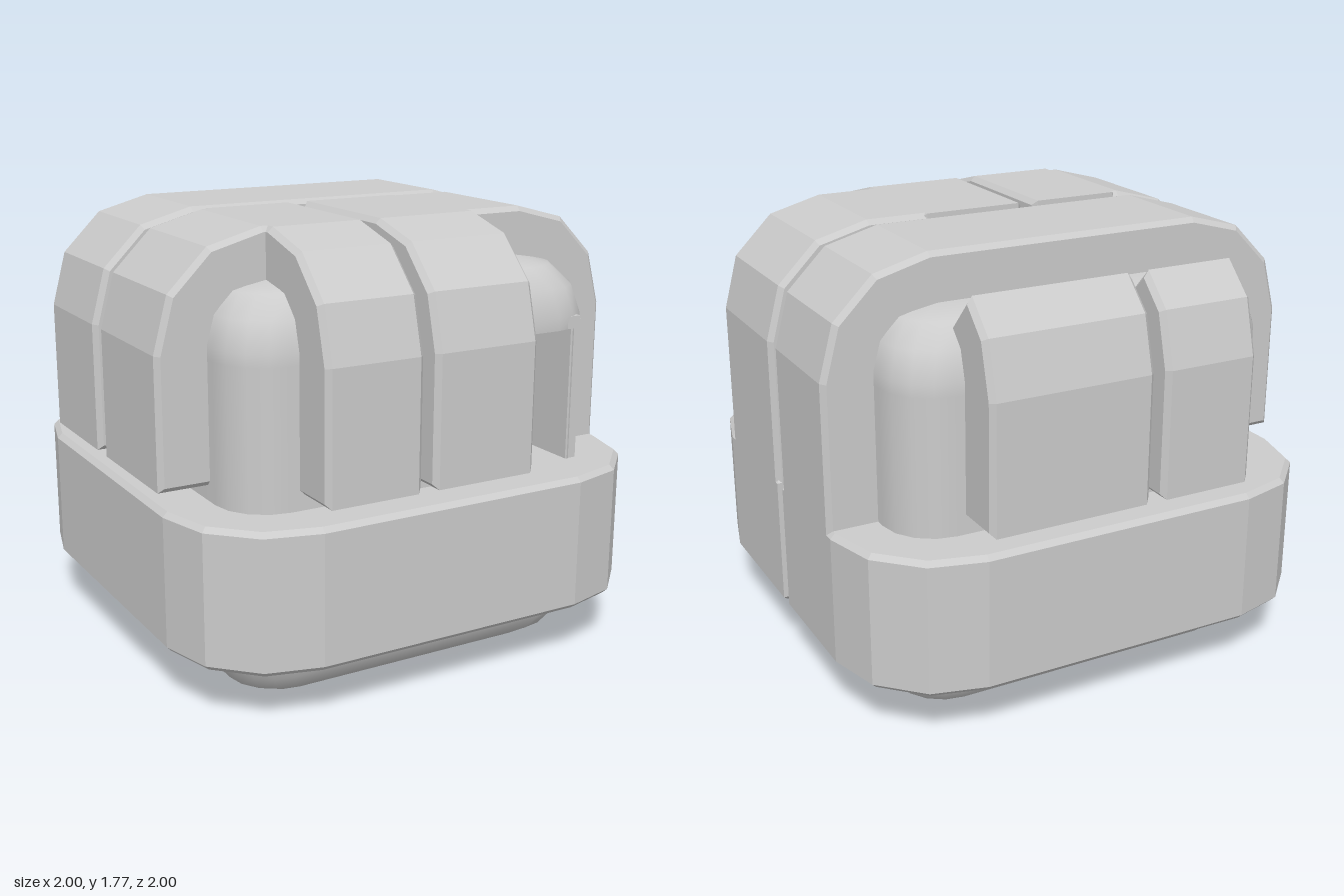
import * as THREE from 'three';
import { toCreasedNormals } from 'three/addons/utils/BufferGeometryUtils.js';

const grey = new THREE.MeshStandardMaterial({ color: 0xcccccc });
const greyThin = new THREE.MeshStandardMaterial({ color: 0xcccccc, side: THREE.DoubleSide });
const TOP = 1.77, IN = 0.5, R = 0.43, BEVEL = 0.02;

// bevelled slab from a 2D outline, running from depth 0 to depth
function slab(points, depth) {
  const shape = new THREE.Shape(points.map(([x, y]) => new THREE.Vector2(x, y)));
  const g = new THREE.ExtrudeGeometry(shape, {
    depth: depth - 2 * BEVEL, bevelEnabled: true, bevelSegments: 1,
    bevelSize: BEVEL, bevelThickness: BEVEL, bevelOffset: -BEVEL,
  });
  return g.translate(0, 0, BEVEL);
}

// quarter-round corner points
function corner(cx, cy, r, start, segments) {
  return Array.from({ length: segments + 1 }, (_, i) => {
    const a = start + (i / segments) * Math.PI / 2;
    return [cx + r * Math.cos(a), cy + r * Math.sin(a)];
  });
}

// outer line of a band: up the side and round onto the top
const rise = (bottom) => [[1, bottom], ...corner(1 - R, TOP - R, R, 0, 3)];

// thick hook-shaped band: from the side at "bottom" over the top to "end"
const hook = (bottom, end) => [
  ...rise(bottom), [end, TOP], [end, TOP - IN], [IN, TOP - IN], [IN, bottom],
];
const mirror = (pts) => pts.map(([x, y]) => [-x, y]);

// rounded square, anticlockwise from the +x side
function roundedSquare(h, r, segments) {
  const c = h - r, q = Math.PI / 2;
  return [
    ...corner(c, c, r, 0, segments), ...corner(-c, c, r, q, segments),
    ...corner(-c, -c, r, 2 * q, segments), ...corner(c, -c, r, 3 * q, segments),
  ];
}

// hollow core lofted through rounded squares, with a window in the front wall
function coreGeometry() {
  const rows = [
    [0.22, 0.62], [0.02, 0.62], [0, 0.67], [0.04, 0.73], [0.1, 0.77], [0.2, 0.8],
    [0.77, 0.8], [1.31, 0.8], [1.36, 0.8], [1.47, 0.77], [1.55, 0.7], [1.58, 0.59], [1.58, 0.001],
  ];
  const windowRow = 6, seg = 4;
  const pos = [], index = [];
  let n = 0;
  for (const [y, h] of rows) {
    const ring = roundedSquare(h, h * 0.26, seg);
    ring.splice(seg + 1, 0, [h * 0.38, h]); // window jamb on the front side
    n = ring.length;
    for (const [x, z] of ring) pos.push(x, y, z);
  }
  for (let j = 0; j < rows.length - 1; j++) {
    for (let i = 0; i < n; i++) {
      if (j === windowRow && (i === seg - 1 || i === seg)) continue;
      const a = j * n + i, b = j * n + (i + 1) % n;
      index.push(a, a + n, b, b, a + n, b + n);
    }
  }
  const g = new THREE.BufferGeometry();
  g.setAttribute('position', new THREE.Float32BufferAttribute(pos, 3));
  g.setIndex(index);
  return toCreasedNormals(g, 0.7);
}

export function createModel() {
  const model = new THREE.Group();
  const add = (name, geometry, material = grey) => {
    const mesh = new THREE.Mesh(geometry, material);
    mesh.name = name;
    model.add(mesh);
    return mesh;
  };
  const box = (name, x0, x1, y0, y1, z0, z1) =>
    add(name, new THREE.BoxGeometry(x1 - x0, y1 - y0, z1 - z0))
      .position.set((x0 + x1) / 2, (y0 + y1) / 2, (z0 + z1) / 2);

  add('core', coreGeometry(), greyThin);
  box('windowJamb', 0.67, 0.72, 0.75, 1.34, 0.45, 0.775);
  box('windowLintel', 0.3, 0.7, 1.31, 1.36, 0.45, 0.79);

  // horizontal band, split by a seam on the +x side
  const split = (h, r) => [[h, 0.06], ...roundedSquare(h, r, 3), [h, 0]];
  const ring = slab([...split(1, R), ...split(IN, 0.12).reverse()], 0.55);
  add('lowerBand', ring.rotateX(-Math.PI / 2).translate(0, 0.22, 0));

  // band over the top, behind the cross seam
  const backArch = [
    ...rise(0.7), ...mirror(rise(0.83)).reverse(),
    [-IN, 0.83], [-IN, TOP - IN], [IN, TOP - IN], [IN, 0.7],
  ];
  add('backArch', slab(backArch, 0.49).translate(0, 0, -0.55));

  // two halves of the band in front of the cross seam
  add('frontArchLeft', slab(hook(0.7, -0.07), 0.55));
  add('frontArchRight', slab(mirror(hook(0.83, 0.2)), 0.55));

  // fingers running over the top and down the front
  const finger = (name, profile, x0, x1) =>
    add(name, slab(profile, x1 - x0).rotateY(-Math.PI / 2).translate(x1, 0, 0));
  const frontProfile = hook(0.83, 0);
  finger('frontFingerRight', frontProfile, -0.56, -0.16);
  finger('frontFingerLeft', frontProfile, -0.11, 0.34);

  // short fingers on the back, with slanted tips
  const backProfile = [
    [-1, 0.83], [-1, 1.34], [-0.942, 1.555], [-0.82, 1.675], [-0.7, 1.55], [-IN, 1.35], [-IN, 0.83],
  ];
  finger('backFingerRight', backProfile, -0.56, -0.16);
  finger('backFingerLeft', backProfile, -0.11, 0.56);

  return model;
}
